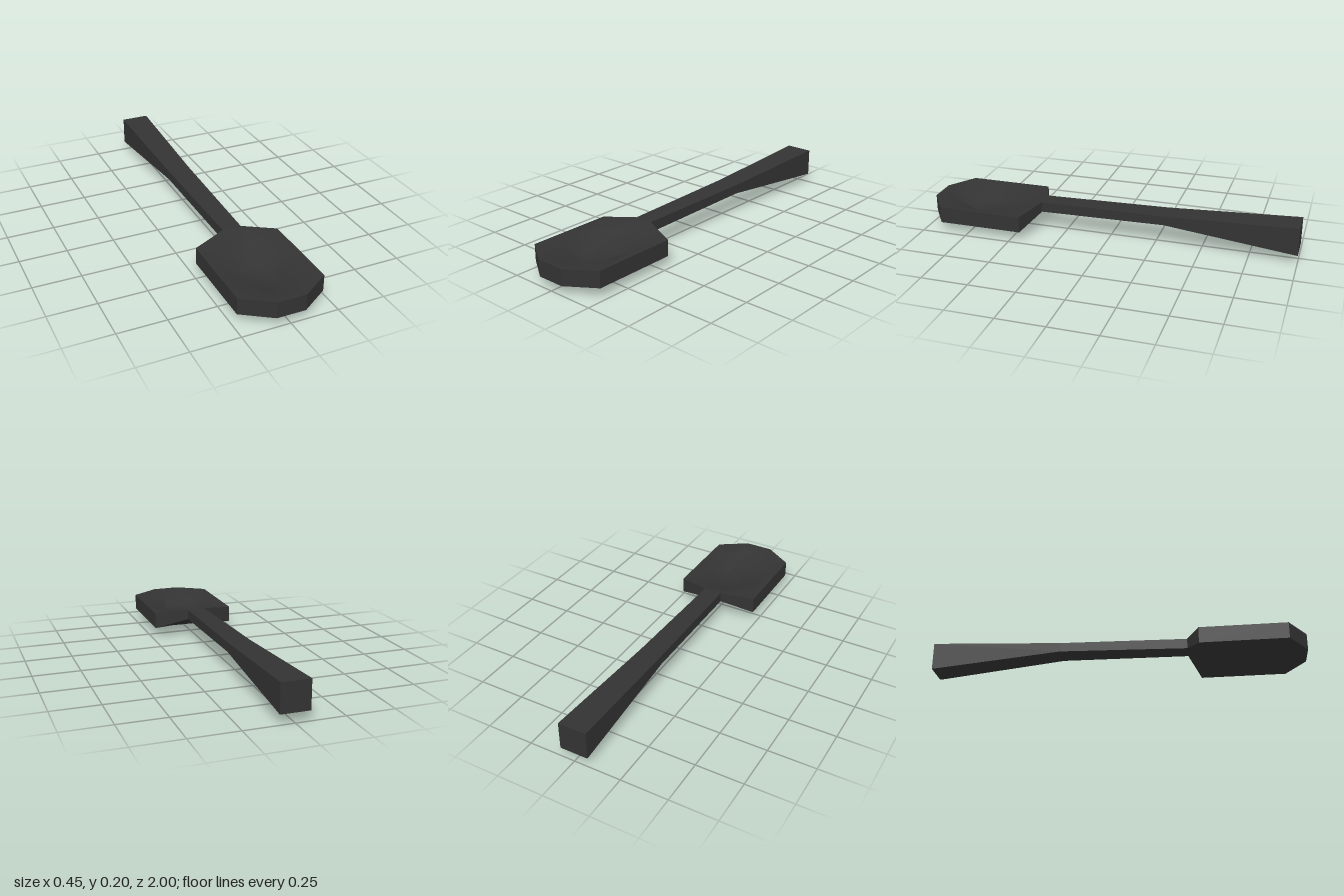
import * as THREE from 'three';
import { mergeVertices } from 'three/addons/utils/BufferGeometryUtils.js';

const material = new THREE.MeshStandardMaterial({ color: 0x333333 });

// Surface through successive rings of [x, y, z]; optional fans close the ends.
function loft(rings, { startCap = false, endCap = false, smooth = false }) {
  const pos = [];
  const tri = (a, b, c) => {
    const [A, B, C] = [a, b, c].map((p) => new THREE.Vector3(...p));
    if (B.sub(A).cross(C.sub(A)).length() > 1e-7) pos.push(...a, ...b, ...c);
  };
  for (let r = 0; r < rings.length - 1; r++) {
    const A = rings[r], B = rings[r + 1];
    A.forEach((_, i) => {
      const j = (i + 1) % A.length;
      tri(A[i], A[j], B[j]);
      tri(A[i], B[j], B[i]);
    });
  }
  const fan = (R) => { for (let i = 1; i < R.length - 1; i++) tri(R[0], R[i], R[i + 1]); };
  if (startCap) fan([...rings[0]].reverse());
  if (endCap) fan(rings[rings.length - 1]);
  let geo = new THREE.BufferGeometry();
  geo.setAttribute('position', new THREE.Float32BufferAttribute(pos, 3));
  if (smooth) geo = mergeVertices(geo);
  geo.computeVertexNormals();
  return geo;
}

// Half outline on the +x side, front to back, mirrored into a full ring
const mirrored = (half) => [...half, ...[...half].reverse().map(([x, y, z]) => [-x, y, z])];

export function createModel() {
  const group = new THREE.Group();
  const add = (name, geo) => {
    const mesh = new THREE.Mesh(geo, material);
    mesh.name = name;
    group.add(mesh);
  };

  // Bowl rings from the underside up over the rim and into the hollow
  const base = mirrored([[0.075, 0, 0.81], [0.075, 0, 0.81], [0.075, 0, 0.63], [0.075, 0, 0.63]]);
  const lowerRim = mirrored([[0.075, 0.05, 1], [0.225, 0.05, 0.9], [0.225, 0.05, 0.445], [0.05, 0.105, 0.38]]);
  const upperRim = mirrored([[0.075, 0.137, 1], [0.225, 0.137, 0.9], [0.225, 0.137, 0.445], [0.05, 0.16, 0.38]]);
  const innerRim = mirrored([[0.06, 0.127, 0.92], [0.17, 0.127, 0.75], [0.17, 0.127, 0.61], [0.06, 0.127, 0.5]]);
  const floor = mirrored([[0.065, 0.075, 0.8], [0.075, 0.075, 0.74], [0.075, 0.075, 0.66], [0.065, 0.075, 0.62]]);

  add('bowlShell', loft([base, lowerRim, upperRim], { startCap: true }));
  add('bowlHollow', loft([upperRim, innerRim, floor], { endCap: true, smooth: true }));

  // Handle: rectangular sections [z, half width, bottom, top], flaring to the end
  const sections = [
    [0.38, 0.05, 0.105, 0.16],
    [-0.3, 0.061, 0.12, 0.17],
    [-1, 0.075, 0.05, 0.2],
  ];
  const handleRings = sections.map(([z, w, lo, hi]) => [[-w, lo, z], [-w, hi, z], [w, hi, z], [w, lo, z]]);
  add('handle', loft(handleRings, { endCap: true }));

  return group;
}
